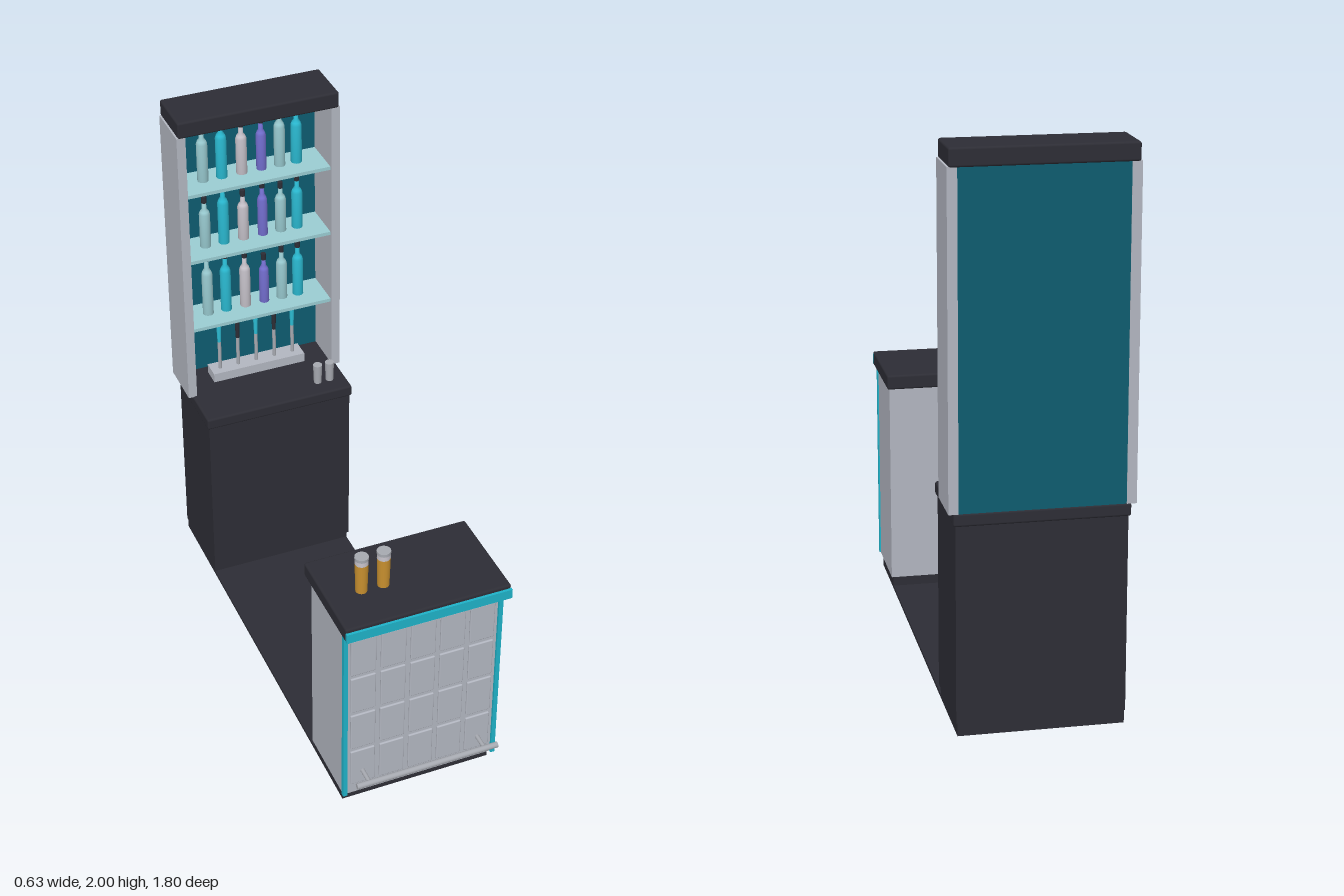
import * as THREE from 'three';
import { RoundedBoxGeometry } from 'three/addons/geometries/RoundedBoxGeometry.js';

const mat = (name, color) => new THREE.MeshStandardMaterial({ name, color });

export function createModel() {
  const root = new THREE.Group();
  root.name = 'barStation';
  const dark = mat('charcoal', 0x2d2d35);
  const grey = mat('light grey', 0xb2b6c0);
  const cyan = mat('cyan trim', 0x1fb2c8);
  const teal = mat('teal back', 0x0e5c70);
  const pale = mat('pale glass', 0x9accd2);
  const blue = mat('blue glass', 0x2bbcd4);
  const violet = mat('violet glass', 0x7570d2);
  const pearl = mat('pearl glass', 0xc8c4cc);
  const amber = mat('amber beer', 0xc8902f);
  const steel = mat('steel', 0xa6a9b0);

  const add = (name, geo, m, x = 0, y = 0, z = 0, parent = root) => {
    const mesh = new THREE.Mesh(geo, m);
    mesh.name = name;
    mesh.position.set(x, y, z);
    parent.add(mesh);
    return mesh;
  };
  // Box given by its extents; a radius rounds the edges
  const box = (name, m, x0, x1, y0, y1, z0, z1, r = 0) => {
    const s = [x1 - x0, y1 - y0, z1 - z0];
    const geo = r ? new RoundedBoxGeometry(...s, 2, r) : new THREE.BoxGeometry(...s);
    return add(name, geo, m, (x0 + x1) / 2, (y0 + y1) / 2, (z0 + z1) / 2);
  };
  // Upright cylinder standing on y0
  const post = (name, m, x, z, y0, y1, r0, r1 = r0, parent = root) =>
    add(name, new THREE.CylinderGeometry(r1, r0, y1 - y0, 16), m, x, (y0 + y1) / 2, z, parent);

  // Floor joining both counters
  box('floor', dark, -0.288, 0.288, 0, 0.012, -0.885, 0.785);

  // Front counter
  box('frontPlinth', dark, -0.288, 0.288, 0.004, 0.048, 0.515, 0.783);
  box('frontBody', grey, -0.295, 0.295, 0.048, 0.83, 0.515, 0.803);
  box('frontPanel', grey, -0.284, 0.284, 0.05, 0.83, 0.803, 0.812);
  box('frontTop', dark, -0.308, 0.308, 0.828, 0.884, 0.478, 0.858, 0.008);
  box('frontTopTrim', cyan, -0.308, 0.308, 0.832, 0.87, 0.857, 0.868);
  for (const s of [-1, 1])
    box('edgeStrip', cyan, s * 0.292 - 0.008, s * 0.292 + 0.008, 0.05, 0.828, 0.806, 0.822);

  // Raised tiles on the front
  for (let row = 0; row < 4; row++)
    for (let col = 0; col < 5; col++) {
      const x = (col - 2) * 0.112, y = 0.178 + row * 0.176;
      box('frontTile', grey, x - 0.047, x + 0.047, y - 0.08, y + 0.08, 0.81, 0.82, 0.004);
    }

  // Foot rail with two brackets
  add('footRail', new THREE.CylinderGeometry(0.011, 0.011, 0.55, 16), steel, 0, 0.155, 0.887)
    .rotation.z = Math.PI / 2;
  for (const s of [-1, 1])
    add('railBracket', new THREE.CylinderGeometry(0.008, 0.008, 0.08, 12), steel, s * 0.225, 0.155, 0.848)
      .rotation.x = Math.PI / 2;

  // Beer glasses
  for (const x of [-0.18, -0.098]) {
    post('beer', amber, x, 0.688, 0.884, 1.005, 0.021, 0.024);
    post('beerFoam', pearl, x, 0.688, 1.005, 1.024, 0.024);
    post('beerRim', steel, x, 0.688, 1.024, 1.036, 0.025);
  }

  // Back cabinet
  box('backPlinth', dark, -0.288, 0.288, 0.004, 0.046, -0.885, -0.56);
  box('backBody', dark, -0.292, 0.292, 0.046, 0.748, -0.885, -0.546);
  box('backTop', dark, -0.3, 0.3, 0.746, 0.792, -0.896, -0.537, 0.008);
  for (const x of [0.186, 0.236]) post('smallGlass', steel, x, -0.615, 0.79, 0.874, 0.015, 0.018);

  // Shelf unit
  for (const s of [-1, 1])
    box('sidePanel', grey, s * 0.3 - 0.017, s * 0.3 + 0.017, 0.79, 1.938, -0.895, -0.706);
  box('backPanel', teal, -0.284, 0.284, 0.79, 1.938, -0.893, -0.876);
  box('header', dark, -0.312, 0.312, 1.936, 2, -0.9, -0.702, 0.008);

  // Tap tower with five handles
  box('tapBase', grey, -0.19, 0.19, 0.79, 0.83, -0.84, -0.765);
  for (let i = 0; i < 5; i++) {
    const x = (i - 2) * 0.076, m = i % 2 ? dark : blue;
    post('tapStem', steel, x, -0.8, 0.83, 0.955, 0.007);
    post('tapHandle', m, x, -0.8, 0.955, 1.042, 0.007, 0.01);
  }

  // Bottles: x positions, glass colours and height of each row
  const xs = [-0.19, -0.116, -0.037, 0.041, 0.114, 0.181];
  const glass = [pale, blue, pearl, violet, pale, blue];
  const rows = [
    [1.09, [0.27, 0.265, 0.247, 0.215, 0.235, 0.24]],
    [1.395, [0.215, 0.26, 0.21, 0.23, 0.21, 0.23]],
    [1.68, [0.235, 0.248, 0.22, 0.22, 0.248, 0.235]],
  ];
  const bottle = (m, x, y, h, r) => {
    const g = new THREE.Group();
    g.name = 'bottle';
    g.position.set(x, y, -0.805);
    const profile = [[0, 0], [r, 0], [r, h * 0.66], [r * 0.8, h * 0.71], [0.009, h * 0.76],
      [0.008, h * 0.9], [0, h * 0.9]].map(p => new THREE.Vector2(...p));
    add('bottleGlass', new THREE.LatheGeometry(profile, 16), m, 0, 0, 0, g);
    post('bottleCap', dark, 0, 0, h * 0.88, h, 0.01, 0.01, g);
    root.add(g);
  };
  for (const [y, heights] of rows) {
    box('shelf', pale, -0.284, 0.284, y - 0.008, y + 0.006, -0.878, -0.718);
    heights.forEach((h, i) => bottle(glass[i], xs[i], y + 0.006, h, i === 3 ? 0.019 : 0.021));
  }
  return root;
}
